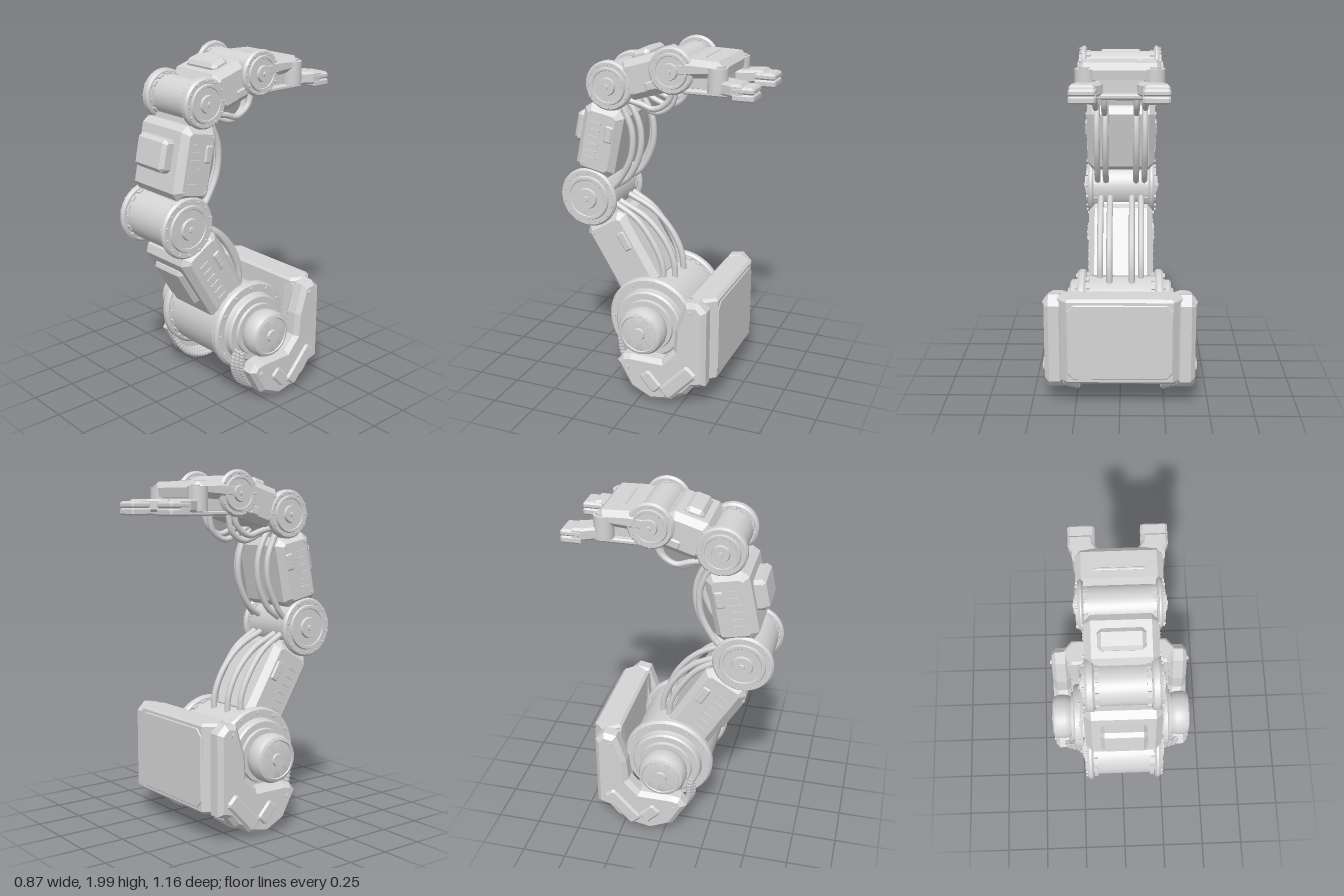
import * as THREE from 'three';
import { mergeGeometries, toCreasedNormals } from 'three/addons/utils/BufferGeometryUtils.js';

const metal = new THREE.MeshStandardMaterial({ color: 0xd4d4d4 });
metal.name = 'light grey metal';

const add = (parent, name, geo, x = 0, y = 0, z = 0) => {
  const m = new THREE.Mesh(geo, metal);
  m.name = name;
  m.position.set(x, y, z);
  parent.add(m);
  return m;
};

// extrusion of an outline with a straight chamfer that stays inside the outline
const extrude = (pts, depth, bevel) => {
  const g = new THREE.ExtrudeGeometry(new THREE.Shape(pts.map(p => new THREE.Vector2(...p))), {
    depth: depth - 2 * bevel, bevelThickness: bevel, bevelSize: bevel, bevelOffset: -bevel, bevelSegments: 1,
  });
  return g.translate(0, 0, bevel - depth / 2);
};
// side profile of [z, y] points, extruded across x and centred on x = 0
const sideProfile = (pts, width, bevel) =>
  extrude(pts.map(([z, y]) => [-z, y]), width, bevel).rotateY(Math.PI / 2);
// plan of [x, -z] points, extruded upwards and centred on y = 0
const planProfile = (pts, height, bevel) => extrude(pts, height, bevel).rotateX(-Math.PI / 2);
const octagon = (w, h, c) => [
  [-w / 2 + c, -h / 2], [w / 2 - c, -h / 2], [w / 2, -h / 2 + c], [w / 2, h / 2 - c],
  [w / 2 - c, h / 2], [-w / 2 + c, h / 2], [-w / 2, h / 2 - c], [-w / 2, -h / 2 + c]];
const chamferBox = (w, h, d, c, b = c) => sideProfile(octagon(d, h, c), w, b);

// mirrored rings of copies of a geometry around the x axis
const ring = (make, n, r, x) => {
  const list = [];
  for (const s of [-1, 1]) for (let i = 0; i < n; i++) {
    list.push(make().translate(s * x, r, 0).rotateX((i / n) * Math.PI * 2));
  }
  return mergeGeometries(list);
};
const boltGeo = (r, h) => new THREE.CylinderGeometry(r, r, h, 8).rotateZ(Math.PI / 2);

// rotary joint: half profile of [x, radius], mirrored to the other side
function joint(parent, name, [z, y], half, bolts) {
  const g = new THREE.Group();
  g.name = name;
  g.position.set(0, y, z);
  parent.add(g);
  const pts = [...half.map(([x, r]) => [-x, r]).reverse(), ...half];
  const lathe = new THREE.LatheGeometry(pts.map(([x, r]) => new THREE.Vector2(r, x)), 56);
  add(g, name + 'Drum', toCreasedNormals(lathe.rotateZ(-Math.PI / 2), 0.5));
  add(g, name + 'FaceBolts', ring(() => boltGeo(bolts.size, 0.02), bolts.n, bolts.r, bolts.x));
  add(g, name + 'EdgeLugs', ring(() => new THREE.BoxGeometry(0.02, 0.014, 0.032),
    bolts.lugs, bolts.drumR, bolts.drumX));
}

const smallJoint = (R, drumR, xi, xo) => [
  [xi, drumR], [xi, R - 0.012], [xi + 0.01, R], [xo - 0.028, R], [xo - 0.016, R - 0.01],
  [xo - 0.016, R * 0.76], [xo - 0.004, R * 0.73], [xo - 0.004, R * 0.64],
  [xo - 0.008, R * 0.62], [xo - 0.008, R * 0.36], [xo + 0.006, R * 0.33],
  [xo + 0.006, R * 0.1], [xo + 0.012, R * 0.08], [xo + 0.012, 0.0001]];

// arm segment in its own frame: y runs from joint a to joint b, +z is the outer side
function segment(parent, name, a, b, o) {
  const g = new THREE.Group();
  g.name = name;
  g.position.set(0, a[1], a[0]);
  g.rotation.x = Math.atan2(b[0] - a[0], b[1] - a[1]);
  parent.add(g);
  const len = Math.hypot(b[0] - a[0], b[1] - a[1]);
  const h = o.to - o.from, mid = (o.from + o.to) / 2;
  add(g, name + 'Core', new THREE.BoxGeometry(o.w * 0.7, len - 0.12, o.d * 0.5), 0, len / 2, 0);
  add(g, name + 'Shell', chamferBox(o.w, h, o.d, 0.035), 0, mid, 0);
  add(g, name + 'OuterPanel', chamferBox(0.24, o.panelH, 0.1, 0.02), 0, o.panelY, o.panelZ - 0.05);
  for (const s of [-1, 1]) {
    const x = s * o.w / 2;
    add(g, name + 'SideVent', chamferBox(0.016, h * 0.24, 0.05, 0.007), x, mid + h * 0.15, -o.d * 0.24);
    for (let i = 0; i < 3; i++) {
      add(g, name + 'VentRib', new THREE.BoxGeometry(0.022, 0.008, 0.03),
        x, mid + h * (0.08 + i * 0.07), -o.d * 0.24);
    }
    if (o.slots) for (let i = 0; i < 6; i++) {
      add(g, name + 'SideSlot', new THREE.BoxGeometry(0.014, 0.008, 0.065), x, mid - h * 0.26 + i * h * 0.105, o.d * 0.12);
    }
    for (const sy of [-1, 1]) for (const sz of [-1, 1]) {
      add(g, name + 'Bolt', boltGeo(0.009, 0.014), x, mid + sy * (h / 2 - 0.05), sz * (o.d / 2 - 0.048));
    }
  }
}

// cable through [x, y, z] points; ribbed hoses alternate thick and thin rings
function cable(parent, name, pts, r, ribbed = false) {
  const path = new THREE.CatmullRomCurve3(pts.map(p => new THREE.Vector3(...p)));
  const n = ribbed ? 90 : 36, geo = new THREE.TubeGeometry(path, n, r, 10);
  if (ribbed) {
    const p = geo.attributes.position, v = new THREE.Vector3();
    for (let i = 0; i < p.count; i++) {
      const k = Math.floor(i / 11);
      if (k % 3 === 0) {
        v.fromBufferAttribute(p, i).lerp(path.getPointAt(k / n), 0.25);
        p.setXYZ(i, v.x, v.y, v.z);
      }
    }
    geo.computeVertexNormals();
  }
  add(parent, name, geo);
}

export function createModel() {
  const root = new THREE.Group();
  root.name = 'roboticArm';
  // joint centres as [z, y]
  const J0 = [-0.01, 0.42], J1 = [0.4, 1.1], J2 = [0.265, 1.755], J3 = [-0.11, 1.87];

  // rotary joints
  joint(root, 'shoulder', J0, [
    [0.2, 0.235], [0.2, 0.25], [0.212, 0.262], [0.235, 0.262], [0.25, 0.25], [0.25, 0.205],
    [0.265, 0.2], [0.285, 0.2], [0.295, 0.19], [0.295, 0.155], [0.31, 0.15], [0.31, 0.12],
    [0.325, 0.13], [0.35, 0.137], [0.395, 0.137], [0.42, 0.125], [0.428, 0.108], [0.422, 0.104],
    [0.422, 0.036], [0.434, 0.032], [0.434, 0.0001]],
  { n: 12, r: 0.232, x: 0.25, size: 0.011, lugs: 24, drumR: 0.236, drumX: 0.188 });
  joint(root, 'elbow', J1, smallJoint(0.172, 0.145, 0.165, 0.215),
    { n: 14, r: 0.15, x: 0.2, size: 0.008, lugs: 16, drumR: 0.146, drumX: 0.152 });
  joint(root, 'wrist', J2, smallJoint(0.138, 0.112, 0.14, 0.205),
    { n: 12, r: 0.119, x: 0.19, size: 0.007, lugs: 14, drumR: 0.113, drumX: 0.128 });
  joint(root, 'handPivot', J3, smallJoint(0.128, 0.098, 0.18, 0.225),
    { n: 12, r: 0.11, x: 0.21, size: 0.007, lugs: 12, drumR: 0.095, drumX: 0.17 });

  // arm segments
  segment(root, 'lowerArm', J0, J1, { w: 0.38, d: 0.275, from: 0.165, to: 0.645, panelY: 0.42, panelH: 0.27, panelZ: 0.163, slots: true });
  segment(root, 'upperArm', J1, J2, { w: 0.4, d: 0.24, from: 0.145, to: 0.545, panelY: 0.37, panelH: 0.18, panelZ: 0.185, slots: true });
  segment(root, 'forearm', J2, J3, { w: 0.37, d: 0.22, from: 0.08, to: 0.335, panelY: 0.205, panelH: 0.11, panelZ: 0.142 });

  // back plate with slanted sides, raised panel and lower crossbar of the base
  const plate = [[-0.3, 0.27], [0.3, 0.27], [0.36, 0.355], [0.295, 0.43], [-0.295, 0.43], [-0.36, 0.355]];
  add(root, 'backPlate', planProfile(plate, 0.5, 0.015), 0, 0.407, 0);
  add(root, 'backPanel', extrude(octagon(0.6, 0.45, 0.04), 0.03, 0.01), 0, 0.407, -0.42);
  add(root, 'lowerCrossbar', chamferBox(0.56, 0.11, 0.13, 0.025, 0.01), 0, 0.125, -0.15);

  const bracket = [[-0.275, 0.647], [-0.35, 0.66], [-0.4, 0.61], [-0.4, 0.16], [-0.33, 0.14],
    [-0.285, 0.085], [-0.18, 0.03], [-0.075, 0.01], [0.05, 0.07], [0.135, 0.22], [0.1, 0.265],
    [0.05, 0.275], [-0.14, 0.275], [-0.21, 0.35], [-0.22, 0.48]];
  const web = [[-0.27, 0.63], [-0.36, 0.63], [-0.36, 0.18], [-0.24, 0.1], [-0.2, 0.2], [-0.25, 0.4]];
  for (const s of [-1, 1]) {
    // side brackets of the base
    add(root, 'sideBracket', sideProfile(bracket, 0.11, 0.025), s * 0.367, 0, 0);
    add(root, 'bracketWeb', sideProfile(web, 0.08, 0.01), s * 0.29, 0, 0);
    add(root, 'bracketBlock', chamferBox(0.13, 0.26, 0.1, 0.018), s * 0.37, 0.16, -0.243).rotation.x = -0.75;
    add(root, 'bracketFoot', chamferBox(0.125, 0.135, 0.085, 0.015), s * 0.37, 0.135, -0.08).rotation.x = 0.75;
    for (const [z, y] of [[0.065, 0.2], [-0.31, 0.6]]) {
      add(root, 'bracketBolt', boltGeo(0.014, 0.02), s * 0.422, y, z);
    }
    // ribbed hoses curling under the shoulder
    for (let i = 0; i < 3; i++) {
      const x = 0.252 + i * 0.028, k = i * 0.008;
      cable(root, 'baseHose', [[s * (x + 0.035), 0.34, 0.14], [s * (x + 0.02), 0.22, 0.145 - k],
        [s * x, 0.09, 0.07 - k], [s * x, 0.025 + k, -0.06], [s * x, 0.035 + k, -0.18], [s * x, 0.12, -0.31]], 0.018, true);
    }
    // paired cables on the inner side of the arm
    for (let i = 0; i < 2; i++) {
      const x = s * (0.065 + i * 0.055), d = i * 0.05;
      cable(root, 'lowerArmCable', [[x, 0.62, -0.085 + d], [x, 0.73, -0.075 + d], [x, 0.86, -0.015 + d],
        [x, 0.98, 0.1 + d * 0.6], [x, 1.06, 0.26]], 0.018);
      const u = s * (0.09 + i * 0.05), e = i * 0.03;
      cable(root, 'upperArmCable', [[u, 1.16, 0.27], [u, 1.22, 0.19 + e], [u, 1.36, 0.122 + e],
        [u, 1.5, 0.115 + e], [u, 1.62, 0.16 + e], [u, 1.7, 0.23]], 0.018);
      cable(root, 'forearmCable', [[u, 1.68, 0.18], [u, 1.63 + e, 0.09], [u, 1.61 + e, 0.01],
        [u, 1.66 + e, -0.07], [u, 1.79, -0.1]], 0.017);
    }
    // fingers with hinge posts
    const flip = pts => pts.map(([x, z]) => [s * x, z]);
    const link = flip([[0.09, 0.34], [0.215, 0.34], [0.225, 0.4], [0.256, 0.46], [0.256, 0.52], [0.128, 0.52], [0.128, 0.48], [0.09, 0.42]]);
    const tip = flip([[0.118, 0.47], [0.258, 0.47], [0.258, 0.575], [0.248, 0.585], [0.128, 0.585], [0.118, 0.575]]);
    add(root, 'fingerLink', planProfile(link, 0.07, 0.012), 0, 1.805, 0);
    add(root, 'fingerTip', planProfile(tip, 0.04, 0.012), 0, 1.808, 0);
    add(root, 'fingerPad', planProfile(tip, 0.042, 0.01), 0, 1.771, 0);
    add(root, 'fingerHinge', toCreasedNormals(new THREE.CylinderGeometry(0.055, 0.055, 0.13, 28), 0.5), s * 0.18, 1.84, -0.365);
    add(root, 'fingerHingeCap', toCreasedNormals(new THREE.CylinderGeometry(0.03, 0.03, 0.15, 20), 0.5), s * 0.18, 1.84, -0.375);
  }

  // hand
  add(root, 'palm', sideProfile([[-0.1, 1.93], [-0.22, 1.94], [-0.37, 1.935], [-0.405, 1.9], [-0.4, 1.85],
    [-0.1, 1.83]], 0.44, 0.03));
  add(root, 'palmCore', chamferBox(0.32, 0.14, 0.26, 0.02), 0, 1.83, -0.24);
  add(root, 'palmBasePlate', chamferBox(0.4, 0.028, 0.25, 0.008), 0, 1.765, -0.3);
  add(root, 'palmRidge', chamferBox(0.25, 0.012, 0.014, 0.004), 0, 1.938, -0.27);
  return root;
}
